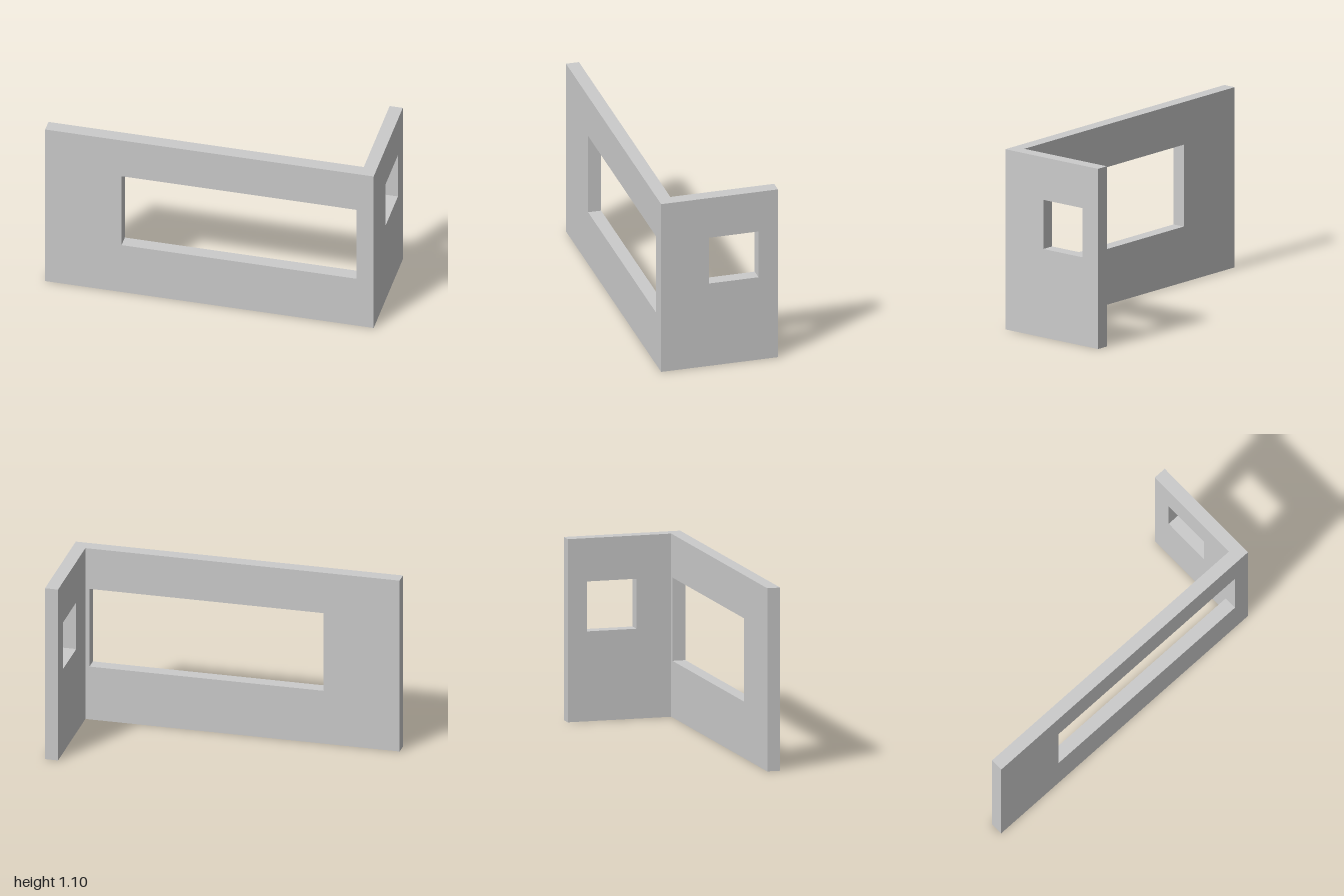
import * as THREE from 'three';

const HEIGHT = 1.1;
const THICKNESS = 0.08;

// Traces a rectangle onto a Shape or Path.
function rect(path, x0, x1, y0, y1) {
  path.moveTo(x0, y0);
  path.lineTo(x1, y0);
  path.lineTo(x1, y1);
  path.lineTo(x0, y1);
  path.closePath();
  return path;
}

// Upright wall with one rectangular window opening.
function wall(name, x0, x1, opening, material) {
  const shape = rect(new THREE.Shape(), x0, x1, 0, HEIGHT);
  shape.holes.push(rect(new THREE.Path(), ...opening));
  const geometry = new THREE.ExtrudeGeometry(shape, { depth: THICKNESS, bevelEnabled: false });
  const mesh = new THREE.Mesh(geometry, material);
  mesh.name = name;
  return mesh;
}

export function createModel() {
  const group = new THREE.Group();
  group.name = 'cornerWalls';
  const material = new THREE.MeshStandardMaterial({ color: 0xcccccc, flatShading: true });

  // Long front wall with the wide window
  const frontWall = wall('frontWall', -1, 1, [-0.535, 0.895, 0.34, 0.84], material);
  frontWall.position.z = 0.28;

  // Short side wall running back from the front wall, with the small window
  const sideWall = wall('sideWall', -0.28, 0.36, [-0.065, 0.24, 0.54, 0.84], material);
  sideWall.rotation.y = Math.PI / 2;
  sideWall.position.x = 1 - THICKNESS;

  group.add(frontWall, sideWall);
  return group;
}
